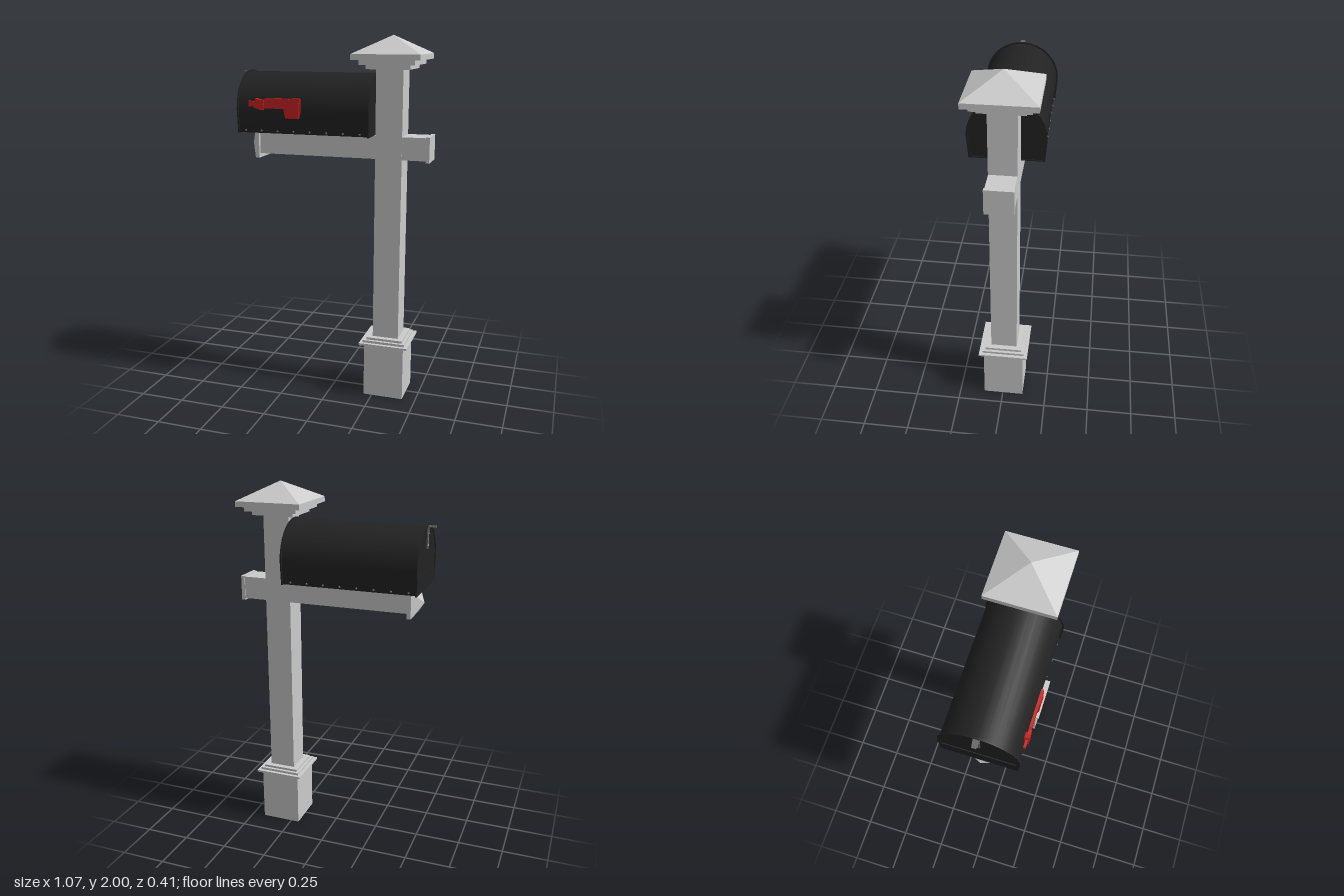
import * as THREE from 'three';
import { toCreasedNormals } from 'three/addons/utils/BufferGeometryUtils.js';

const PX = 0.315; // post centre in x
const grey = new THREE.MeshStandardMaterial({ color: 0xcccccc });
const black = new THREE.MeshStandardMaterial({ color: 0x222222 });
const red = new THREE.MeshStandardMaterial({ color: 0xcc2222 });
const steel = new THREE.MeshStandardMaterial({ color: 0x666666 });

// Arched mailbox outline, shrunk by an inset
function arch(inset) {
  const r = 0.203 - inset, base = 0.193 - inset, spring = 1.61, bottom = 1.483 + inset * 0.4;
  const pts = [new THREE.Vector2(-base, bottom), new THREE.Vector2(base, bottom)];
  for (let i = 0; i <= 16; i++) {
    const a = (i / 16) * Math.PI;
    pts.push(new THREE.Vector2(r * Math.cos(a), spring + r * Math.sin(a)));
  }
  return pts;
}

// Extrude an arch along x between x0 and x1
function archGeometry(shape, x0, x1) {
  const g = new THREE.ExtrudeGeometry(shape, { depth: x1 - x0, bevelEnabled: false });
  g.rotateY(Math.PI / 2).translate(x0, 0, 0);
  return toCreasedNormals(g, 0.5);
}

// Four-sided pyramid with its base at y = 0
function pyramid(half, height) {
  const g = new THREE.ConeGeometry(half * Math.SQRT2, height, 4, 1).toNonIndexed();
  g.rotateY(Math.PI / 4).translate(0, height / 2, 0);
  g.computeVertexNormals();
  return g;
}

export function createModel() {
  const model = new THREE.Group();
  model.name = 'mailboxOnPost';
  const body = new THREE.Group();
  body.position.z = -0.004;
  model.add(body);

  const add = (name, geometry, material, parent = body) => {
    const m = new THREE.Mesh(geometry, material);
    m.name = name;
    parent.add(m);
    return m;
  };
  const box = (name, x0, x1, y0, y1, z0, z1, material = grey) => {
    const m = add(name, new THREE.BoxGeometry(x1 - x0, y1 - y0, z1 - z0), material);
    m.position.set((x0 + x1) / 2, (y0 + y1) / 2, (z0 + z1) / 2);
    return m;
  };

  // Post, stepped base and stepped cap: name, half width, bottom, top
  for (const [name, h, y0, y1] of [
    ['post', 0.0725, 0.3, 1.83],
    ['base', 0.112, 0, 0.308],
    ['baseFlange', 0.137, 0.308, 0.319],
    ['baseStep', 0.118, 0.319, 0.332],
    ['baseCollar', 0.102, 0.332, 0.345],
    ['capCollar', 0.083, 1.825, 1.832],
    ['capLowerStep', 0.117, 1.828, 1.85],
    ['capMiddleStep', 0.147, 1.85, 1.876],
    ['capSlab', 0.181, 1.876, 1.905],
  ]) box(name, PX - h, PX + h, y0, y1, -h, h);
  add('capRoof', pyramid(0.181, 0.095), grey).position.set(PX, 1.905, 0);

  // Cross arm with its end plates and pointed tip
  box('arm', -0.425, 0.517, 1.357, 1.479, -0.0715, 0.0715);
  box('armRearPlate', 0.515, 0.535, 1.347, 1.483, -0.075, 0.075);
  box('armFrontPlate', -0.442, -0.42, 1.333, 1.478, -0.089, 0.089);
  const tip = add('armTip', pyramid(0.5, 1), grey);
  tip.scale.set(0.145, 0.05, 0.178);
  tip.rotation.z = Math.PI / 2;
  tip.position.set(-0.442, 1.4055, 0);

  // Mailbox shell with a raised rim at each end
  add('mailboxShell', archGeometry(new THREE.Shape(arch(0.008)), -0.492, 0.234), black);
  const rim = new THREE.Shape(arch(0));
  rim.holes.push(new THREE.Path(arch(0.014)));
  for (const [name, x] of [['frontRim', -0.496], ['rearRim', 0.231]]) {
    add(name, archGeometry(rim, x, x + 0.008), black);
  }

  // Door strip, strap and pull tab
  box('doorLowerStrip', -0.496, -0.49, 1.49, 1.572, -0.181, 0.181, black);
  box('latchStrap', -0.498, -0.49, 1.69, 1.80, -0.012, 0.012, steel);
  for (let i = 0; i < 3; i++) {
    box('latchRivet', -0.501, -0.497, 1.705 + i * 0.03, 1.711 + i * 0.03, -0.003, 0.003);
  }
  const tab = new THREE.Shape([[-0.49, -0.018], [-0.49, 0.018], [-0.537, 0.011], [-0.537, -0.011]]
    .map(([x, z]) => new THREE.Vector2(x, z)));
  const tabGeo = new THREE.ExtrudeGeometry(tab, { depth: 0.007, bevelEnabled: false });
  add('latchTab', tabGeo.rotateX(-Math.PI / 2), steel).position.y = 1.8;

  // Rivets along both lower edges
  const rivet = new THREE.SphereGeometry(0.006, 8, 6);
  for (const side of [-1, 1]) {
    for (let i = 0; i < 8; i++) {
      add('rivet', rivet, steel).position.set(-0.452 + i * 0.0915, 1.498, side * 0.186);
    }
  }

  // Signal flag on the front side
  const flag = new THREE.Group();
  flag.name = 'flag';
  model.add(flag);
  const outline = new THREE.Shape([
    [-0.424, 1.628], [-0.39, 1.632], [-0.345, 1.62], [-0.225, 1.62], [-0.215, 1.57],
    [-0.143, 1.57], [-0.132, 1.61], [-0.132, 1.675], [-0.325, 1.675],
    [-0.345, 1.66], [-0.39, 1.655], [-0.424, 1.658],
  ].map(([x, y]) => new THREE.Vector2(x, y)));
  add('flagArm', new THREE.ExtrudeGeometry(outline, { depth: 0.012, bevelEnabled: false }), red, flag)
    .position.z = 0.19;
  const pivot = add('flagPivot', new THREE.BoxGeometry(0.032, 0.05, 0.026), red, flag);
  pivot.position.set(-0.373, 1.644, 0.195);
  pivot.rotation.z = -0.3;
  const stop = add('flagStop', new THREE.BoxGeometry(0.025, 0.055, 0.012), red, flag);
  stop.position.set(-0.35, 1.638, 0.2);
  const blade = add('flagBlade', new THREE.BoxGeometry(0.073, 0.095, 0.014), red, flag);
  blade.position.set(-0.174, 1.622, 0.198);
  return model;
}
